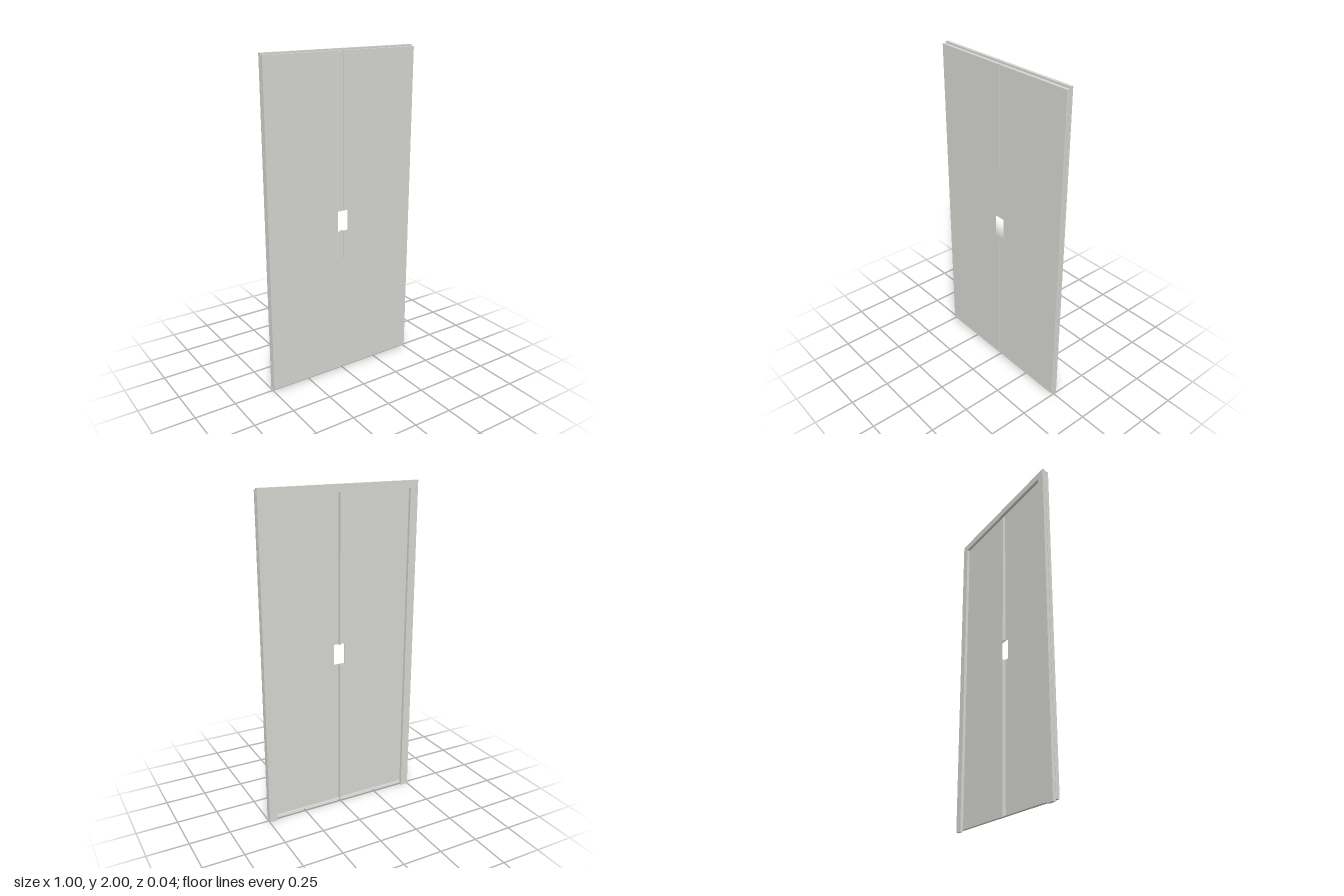
import * as THREE from 'three';

const W = 0.5;                    // half width of the doorway
const GAP = 0.0015;               // half gap between the leaves
const BOTTOM = 0.013, TOP = 1.99; // door leaf height range
const DEPTH = 0.02, SHEET = 0.003;
const NOTCH = { x: 0.035, y0: 0.938, y1: 1.064 };

export function createModel() {
  const model = new THREE.Group();
  model.name = 'doubleDoor';
  const metal = new THREE.MeshStandardMaterial({ color: 0xd5d5d0 });
  metal.name = 'paintedGreyMetal';

  // Box given by its lower and upper limits
  const box = (parent, name, x0, x1, y0, y1, z0, z1) => {
    const mesh = new THREE.Mesh(
      new THREE.BoxGeometry(Math.abs(x1 - x0), y1 - y0, z1 - z0), metal);
    mesh.position.set((x0 + x1) / 2, (y0 + y1) / 2, (z0 + z1) / 2);
    mesh.name = name;
    parent.add(mesh);
  };

  // Rear frame: one shape with the doorway open at the bottom
  const frameShape = new THREE.Shape([
    [-W, 0], [-W + 0.05, 0], [-W + 0.05, 1.956], [W - 0.05, 1.956],
    [W - 0.05, 0], [W, 0], [W, 2], [-W, 2],
  ].map(([x, y]) => new THREE.Vector2(x, y)));
  const frame = new THREE.Mesh(
    new THREE.ExtrudeGeometry(frameShape, { depth: DEPTH - 0.002, bevelEnabled: false }), metal);
  frame.position.z = -DEPTH;
  frame.name = 'doorFrame';
  model.add(frame);

  for (const s of [-1, 1]) {
    const leaf = new THREE.Group();
    leaf.name = s > 0 ? 'leftDoor' : 'rightDoor';

    // Front sheet with a notch at the meeting edge
    const outline = [
      [GAP, BOTTOM], [W, BOTTOM], [W, TOP], [GAP, TOP],
      [GAP, NOTCH.y1], [NOTCH.x, NOTCH.y1], [NOTCH.x, NOTCH.y0], [GAP, NOTCH.y0],
    ].map(([x, y]) => new THREE.Vector2(s * x, y));
    const sheet = new THREE.Mesh(new THREE.ExtrudeGeometry(
      new THREE.Shape(outline), { depth: SHEET, bevelEnabled: false }), metal);
    sheet.position.z = DEPTH - SHEET;
    sheet.name = 'doorSheet';
    leaf.add(sheet);

    // Folded edges behind the sheet
    const zf = DEPTH - SHEET;
    const inner = s * (GAP + SHEET), outer = s * (W - SHEET);
    box(leaf, 'outerFold', outer, s * W, BOTTOM, TOP, 0, zf);
    box(leaf, 'bottomFold', inner, outer, BOTTOM, BOTTOM + SHEET, 0, zf);
    box(leaf, 'topFold', inner, outer, TOP - SHEET, TOP, 0, zf);
    box(leaf, 'lowerMeetingFold', s * GAP, inner, BOTTOM, NOTCH.y0, 0, zf);
    box(leaf, 'upperMeetingFold', s * GAP, inner, NOTCH.y1, TOP, 0, zf);
    model.add(leaf);
  }
  return model;
}
